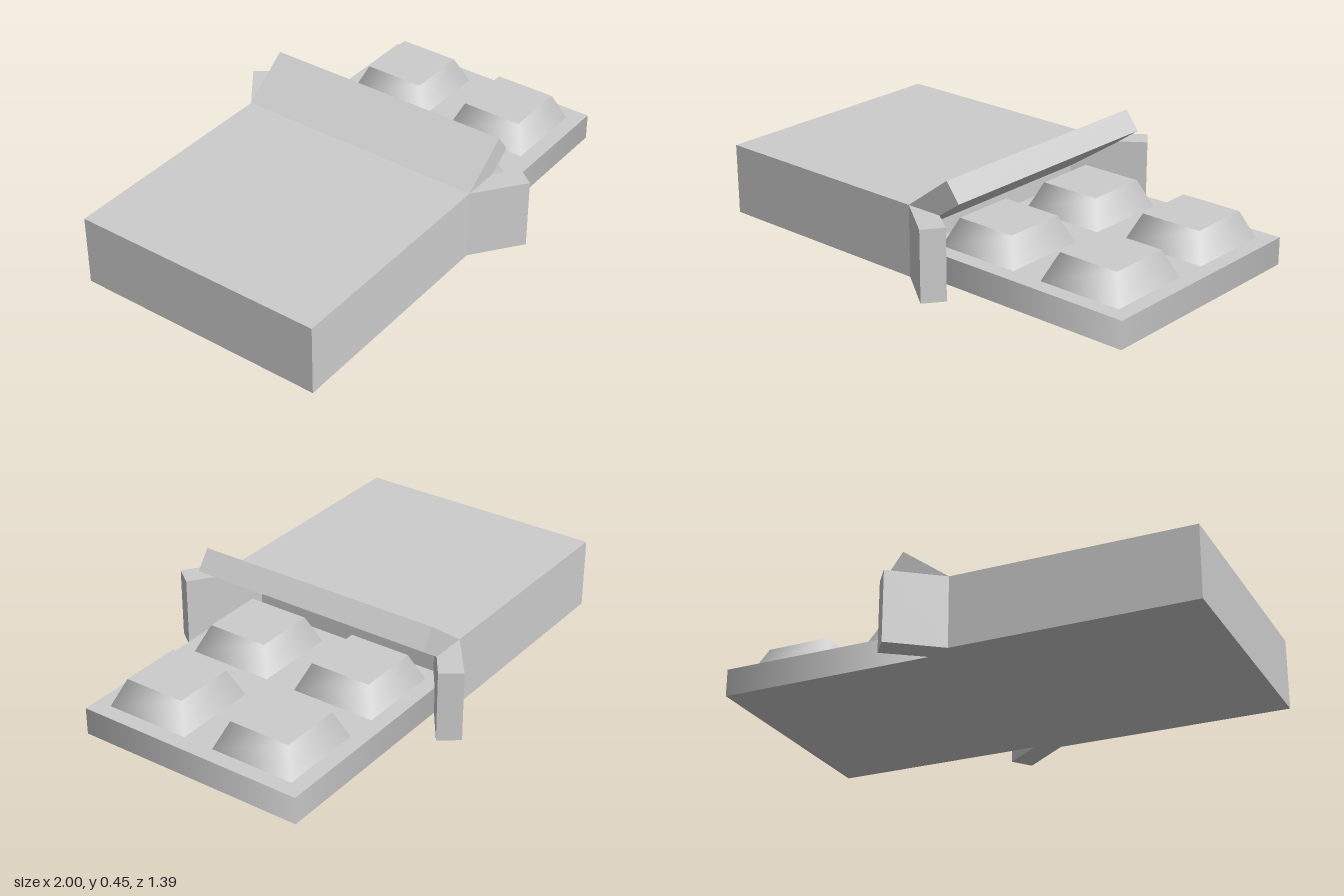
import * as THREE from 'three';

export function createModel() {
  const model = new THREE.Group();
  const grey = new THREE.MeshStandardMaterial({ color: 0xcccccc });
  grey.name = 'light grey';

  const add = (name, geometry, x = 0, y = 0, z = 0) => {
    const mesh = new THREE.Mesh(geometry, grey);
    mesh.name = name;
    mesh.position.set(x, y, z);
    model.add(mesh);
    return mesh;
  };

  // Four-sided cylinder with smooth sides, sized by its half widths
  const block = (topHalf, baseHalf, height) =>
    new THREE.CylinderGeometry(topHalf * Math.SQRT2, baseHalf * Math.SQRT2, height, 4, 1, false, Math.PI / 4);

  // Slanted flap: profile runs outwards from the hinge at height h, extruded over its length
  const flap = (h, length) => {
    const profile = [[0, h], [0.2, h + 0.15], [0.26, h + 0.07], [0, h - 0.115]];
    const shape = new THREE.Shape(profile.map(([x, y]) => new THREE.Vector2(x, y)));
    return new THREE.ExtrudeGeometry(shape, { depth: length, bevelEnabled: false });
  };

  const H = 0.3, W = 0.543;

  // Closed wrapper
  add('wrapper', new THREE.BoxGeometry(1, H, W * 2), -0.5, H / 2, 0);

  // Folded-open wrapper edges
  add('topFlap', flap(H, W * 2), 0, 0, -W);
  add('leftSideFlap', flap(W, H).rotateX(Math.PI / 2), 0, H, 0);
  add('rightSideFlap', flap(W, H).rotateX(-Math.PI / 2));

  // Bare bar with its raised pieces
  add('barSlab', block(0.5, 0.5, 0.115), 0.5, 0.0575, 0);
  for (const x of [0.25, 0.75]) {
    for (const z of [-0.25, 0.25]) {
      add('barPiece', block(0.133, 0.183, 0.115), x, 0.1725, z);
    }
  }
  return model;
}
